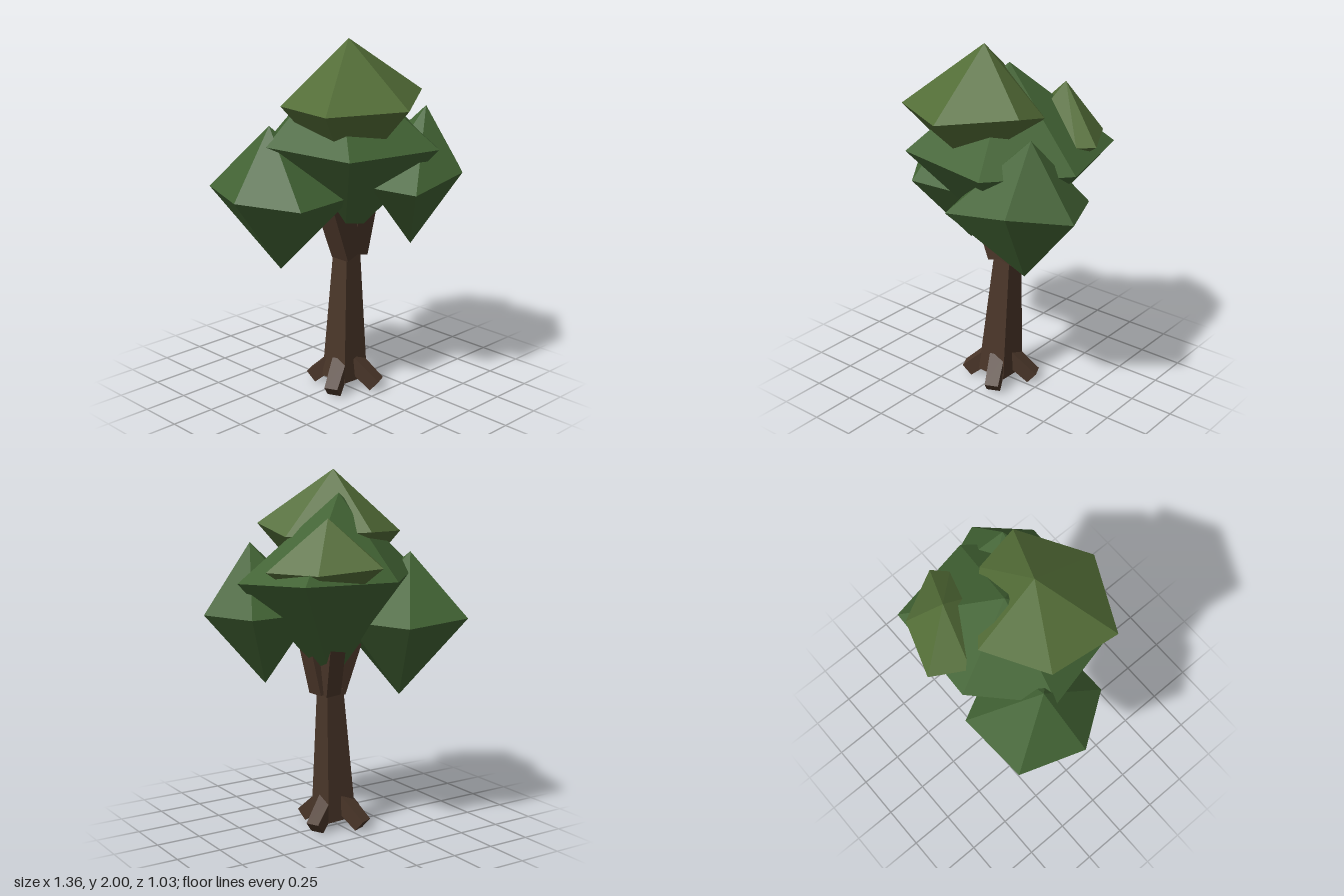
import * as THREE from 'three';

const material = (color) => new THREE.MeshStandardMaterial({ color, flatShading: true });
const bark = material(0x4a3629);
const leaf = material(0x426334);
const paleLeaf = material(0x536d37);

// Tapered four-sided limb running from one point to another, turned about its axis
function limb(name, from, to, rFrom, rTo, turn = 0) {
  const a = new THREE.Vector3(...from), b = new THREE.Vector3(...to);
  const dir = b.clone().sub(a);
  const geometry = new THREE.CylinderGeometry(rTo, rFrom, dir.length(), 4);
  geometry.rotateY(turn + Math.PI / 4);
  const mesh = new THREE.Mesh(geometry, bark);
  mesh.name = name;
  mesh.position.copy(a).add(b).multiplyScalar(0.5);
  mesh.quaternion.setFromUnitVectors(new THREE.Vector3(0, 1, 0), dir.normalize());
  return mesh;
}

// Leaf clump: an irregular ring closed by an upper and a lower peak
function clump(name, mat, top, bottom, ring) {
  const points = [];
  ring.forEach((p, i) => {
    const q = ring[(i + 1) % ring.length];
    points.push(...top, ...p, ...q, ...bottom, ...q, ...p);
  });
  const geometry = new THREE.BufferGeometry();
  geometry.setAttribute('position', new THREE.Float32BufferAttribute(points, 3));
  geometry.computeVertexNormals();
  const mesh = new THREE.Mesh(geometry, mat);
  mesh.name = name;
  return mesh;
}

export function createModel() {
  const tree = new THREE.Group();
  tree.name = 'tree';

  // Leaning trunk
  tree.add(limb('trunk', [0.013, 0.05, 0.02], [0.048, 0.8, 0], 0.128, 0.075));

  // Four stubby roots, a quarter turn apart
  const roots = new THREE.Group();
  roots.name = 'roots';
  for (let i = 0; i < 4; i++) {
    const angle = 0.43 + i * Math.PI / 2;
    const at = (r, y) => [0.013 + r * Math.cos(angle), y, 0.02 - r * Math.sin(angle)];
    roots.add(limb('root', at(0.05, 0.155), at(0.194, 0.03), 0.062, 0.055, angle));
  }
  tree.add(roots);

  // Branches spreading into the foliage
  const branches = new THREE.Group();
  branches.name = 'branches';
  branches.add(
    limb('rightBranch', [0.035, 0.785, 0.02], [-0.075, 1.1, 0.02], 0.09, 0.1),
    limb('leftBranch', [0.075, 0.785, 0.02], [0.14, 1.1, 0.03], 0.085, 0.09),
    limb('backBranch', [0.07, 0.785, -0.025], [0.1, 1.1, -0.12], 0.065, 0.07)
  );
  tree.add(branches);

  // Foliage clumps
  const foliage = new THREE.Group();
  foliage.name = 'foliage';
  foliage.add(
    clump('crownClump', paleLeaf, [-0.035, 2, 0.095], [-0.035, 1.22, 0.1], [
      [-0.42, 1.66, 0.32], [-0.02, 1.665, 0.515], [0.34, 1.71, 0.28],
      [0.31, 1.65, 0.03], [-0.04, 1.68, -0.27], [-0.37, 1.66, -0.07]]),
    clump('backClump', paleLeaf, [0.23, 1.765, -0.265], [0.2, 1.26, -0.22], [
      [-0.05, 1.52, -0.33], [0.2, 1.6, -0.03], [0.45, 1.49, -0.06],
      [0.525, 1.49, -0.135], [0.38, 1.49, -0.41], [0.06, 1.52, -0.52]]),
    clump('middleClump', leaf, [0.02, 1.88, -0.045], [0.05, 0.84, -0.02], [
      [-0.33, 1.43, 0.4], [0.25, 1.42, 0.49], [0.565, 1.41, 0.1],
      [0.455, 1.44, -0.41], [-0.1, 1.43, -0.43], [-0.45, 1.45, -0.1]]),
    clump('leftClump', leaf, [0.4, 1.61, 0.26], [0.335, 0.825, 0.22], [
      [0.045, 1.21, 0.515], [0.43, 1.27, 0.505], [0.68, 1.23, 0.27],
      [0.555, 1.23, -0.04], [0.2, 1.24, -0.06], [-0.03, 1.22, 0.26]]),
    clump('rightClump', leaf, [-0.39, 1.55, -0.14], [-0.33, 0.745, -0.13], [
      [-0.68, 1.19, -0.09], [-0.48, 1.16, 0.2], [-0.1, 1.17, 0.19],
      [0.02, 1.19, -0.13], [-0.15, 1.18, -0.465], [-0.56, 1.2, -0.445]])
  );
  tree.add(foliage);

  return tree;
}
